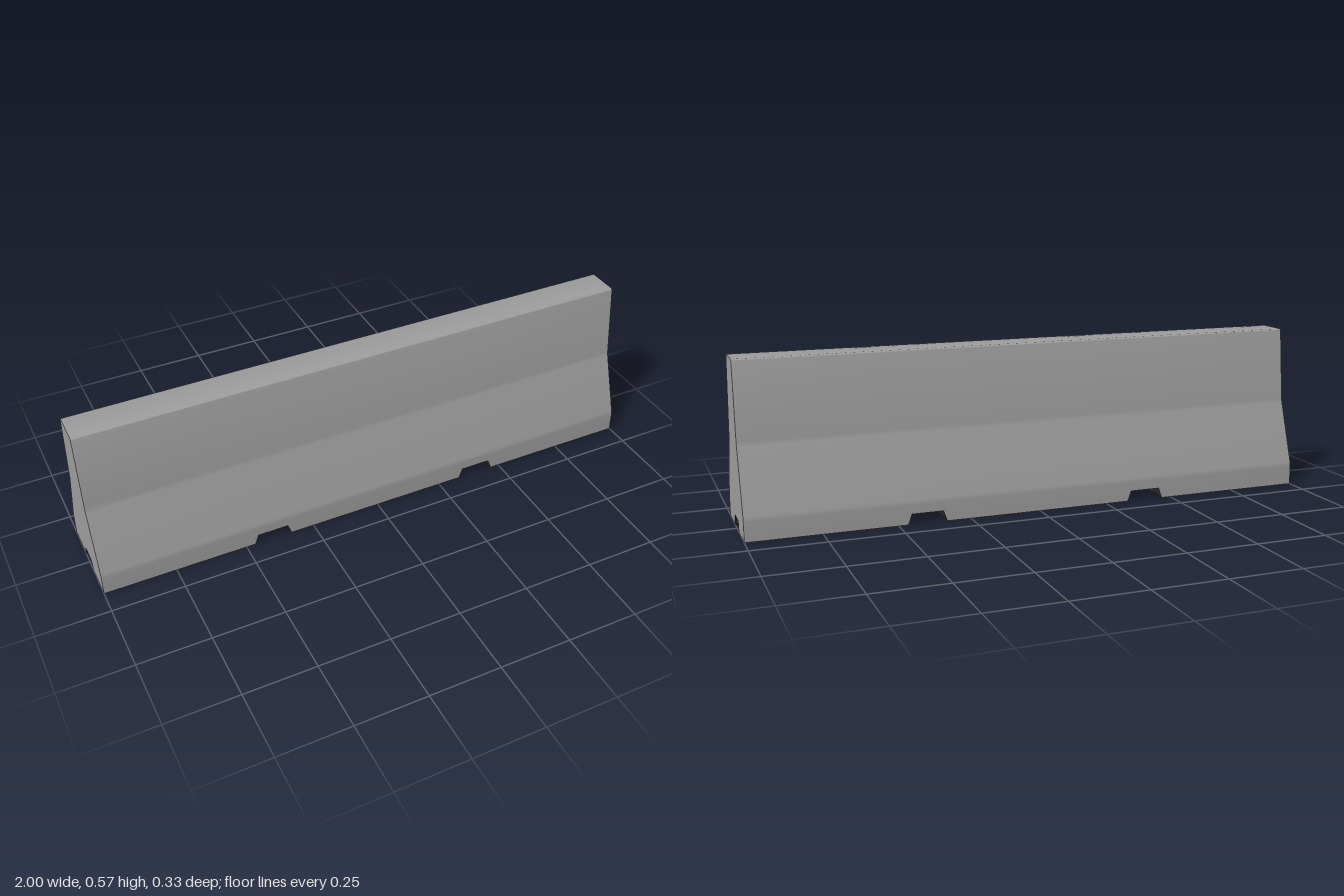
import * as THREE from 'three';
import { toCreasedNormals } from 'three/addons/utils/BufferGeometryUtils.js';

const NOTCH = 0.036; // height of the grooves under the base
const UNDERSIDE = 5; // number of section edges that face down

// Lengthwise stations [x, underside height]: two lifting slots cross the base
const stations = [[-1, 0]];
for (const cx of [-0.4, 0.4]) {
  stations.push([cx - 0.067, 0], [cx - 0.054, NOTCH], [cx + 0.054, NOTCH], [cx + 0.067, 0]);
}
stations.push([1, 0]);

// Half of the outer side profile [z, y], from the foot to the rounded top edge
const side = [[0.165, 0.068], [0.1645, 0.075], [0.162, 0.084], [0.0925, 0.291], [0.0895, 0.299], [0.088, 0.308]];
for (let i = 0; i <= 6; i++) {
  const angle = THREE.MathUtils.degToRad(6 + 14 * i);
  side.push([0.0525 + 0.008 * Math.cos(angle), 0.5595 + 0.008 * Math.sin(angle)]);
}

// Closed cross-section at a station: grooved underside, +z side, top, -z side
function section(floor) {
  const groove = [[0.035, NOTCH], [0.045, floor], [0.165, floor]];
  const mirror = (pts) => pts.map(([z, y]) => [-z, y]).reverse();
  return [...mirror(groove), ...groove, ...side, ...mirror(side)];
}

const rings = stations.map(([x, floor]) => section(floor).map(([z, y]) => new THREE.Vector3(x, y, z)));
const count = rings[0].length;

// Skin between neighbouring stations, over section edges from..to
function skin(from, to) {
  const points = [];
  for (let i = 0; i < rings.length - 1; i++) {
    for (let j = from; j < to; j++) {
      const k = (j + 1) % count;
      const a = rings[i][j], b = rings[i + 1][j], c = rings[i + 1][k], d = rings[i][k];
      // Split along the steeper diagonal so crossing grooves mitre cleanly
      if (Math.abs(a.y - c.y) >= Math.abs(b.y - d.y)) points.push(a, b, c, a, c, d);
      else points.push(a, b, d, b, c, d);
    }
  }
  return points;
}

// Flat ends
function ends() {
  const points = [];
  const first = rings[0], last = rings[rings.length - 1];
  const outline = first.map((p) => new THREE.Vector2(-p.z, p.y)).reverse();
  for (const face of THREE.ShapeUtils.triangulateShape(outline, [])) {
    if (THREE.ShapeUtils.area(face.map((v) => outline[v])) < 0) face.reverse();
    const [i, j, k] = face.map((v) => count - 1 - v);
    points.push(last[i], last[j], last[k], first[k], first[j], first[i]);
  }
  return points;
}

function part(name, points, color) {
  const geometry = toCreasedNormals(new THREE.BufferGeometry().setFromPoints(points), 0.7);
  const mesh = new THREE.Mesh(geometry, new THREE.MeshStandardMaterial({ color }));
  mesh.name = name;
  return mesh;
}

export function createModel() {
  const group = new THREE.Group();
  group.name = 'concreteBarrier';
  group.add(
    part('barrierBody', [...skin(UNDERSIDE, count), ...ends()], 0x9c9c9c),
    part('groovedUnderside', skin(0, UNDERSIDE), 0x2e2e2e),
  );
  return group;
}
